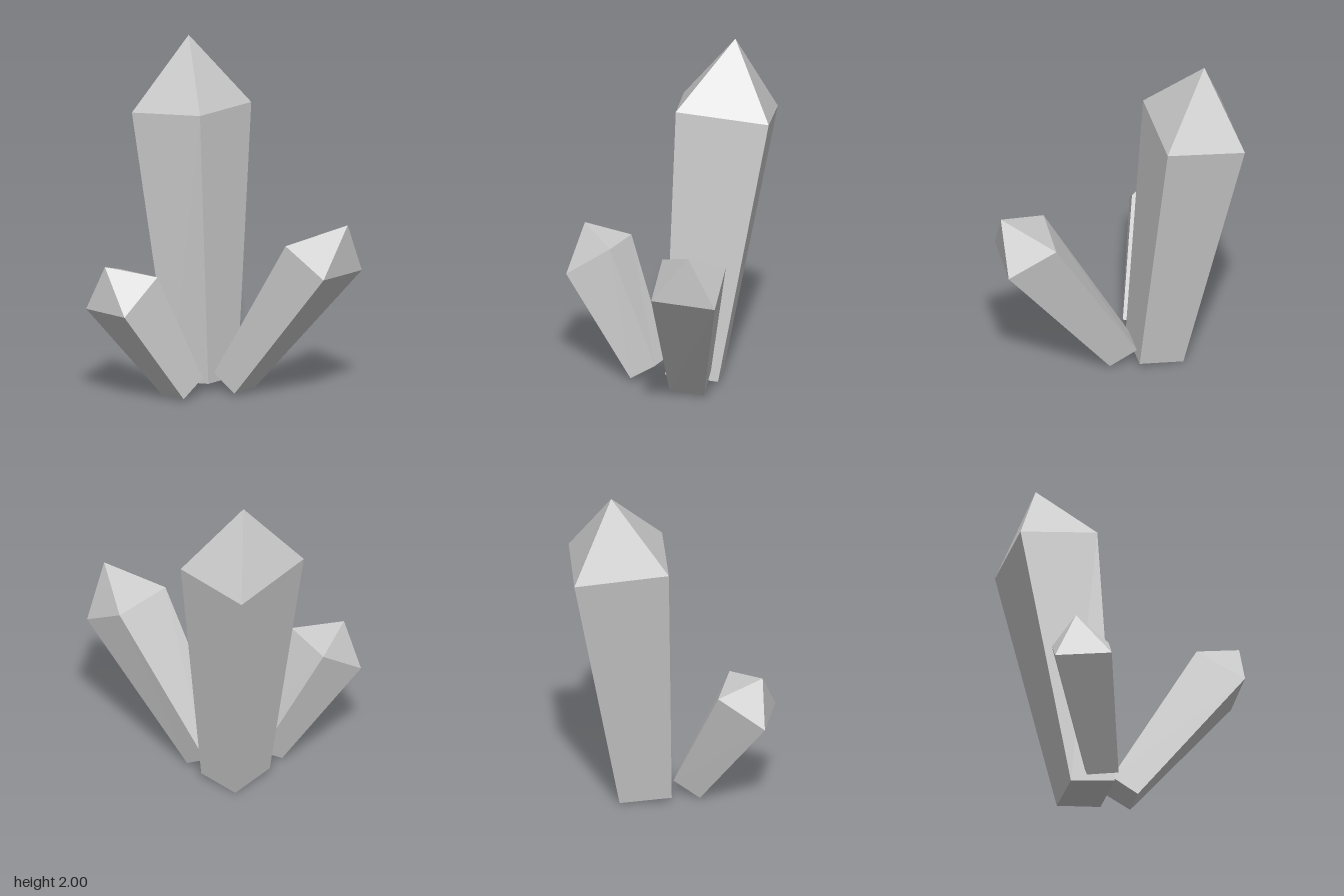
import * as THREE from 'three';

const material = new THREE.MeshStandardMaterial({ color: 0xcccccc, flatShading: true });

// Four-sided crystal: base ring, wider shoulder ring, pointed tip.
// Rings run front-left, front-right, back-right, back-left.
function crystal(name, base, shoulder, tip) {
  const tris = [];
  for (let i = 0; i < 4; i++) {
    const j = (i + 1) % 4;
    tris.push(base[i], base[j], shoulder[j], base[i], shoulder[j], shoulder[i]); // side
    tris.push(shoulder[i], shoulder[j], tip); // point
  }
  tris.push(base[0], base[3], base[2], base[0], base[2], base[1]); // underside
  const geometry = new THREE.BufferGeometry();
  geometry.setAttribute('position', new THREE.Float32BufferAttribute(tris.flat(), 3));
  geometry.computeVertexNormals();
  const mesh = new THREE.Mesh(geometry, material);
  mesh.name = name;
  return mesh;
}

export function createModel() {
  const group = new THREE.Group();
  group.name = 'crystalCluster';

  group.add(crystal('tallCrystal',
    [[-0.39, 0.03, -0.01], [-0.13, 0.06, -0.005], [-0.13, 0.03, -0.31], [-0.39, 0.005, -0.31]],
    [[-0.68, 1.585, -0.045], [-0.22, 1.64, -0.055], [-0.22, 1.585, -0.592], [-0.68, 1.53, -0.588]],
    [-0.5, 2, -0.365]));

  group.add(crystal('leaningCrystal',
    [[-0.13, 0.11, -0.065], [0.02, 0.015, -0.05], [0.03, 0.005, -0.25], [-0.125, 0.1, -0.27]],
    [[0.37, 0.96, -0.05], [0.65, 0.81, -0.02], [0.67, 0.78, -0.39], [0.395, 0.935, -0.42]],
    [0.675, 1.09, -0.235]));

  group.add(crystal('shortCrystal',
    [[-0.34, 0, 0.155], [-0.165, 0.015, 0.2], [-0.13, 0.11, 0.055], [-0.31, 0.1, 0.005]],
    [[-0.63, 0.56, 0.51], [-0.315, 0.58, 0.59], [-0.26, 0.765, 0.33], [-0.575, 0.74, 0.245]],
    [-0.505, 0.83, 0.505]));

  return group;
}
